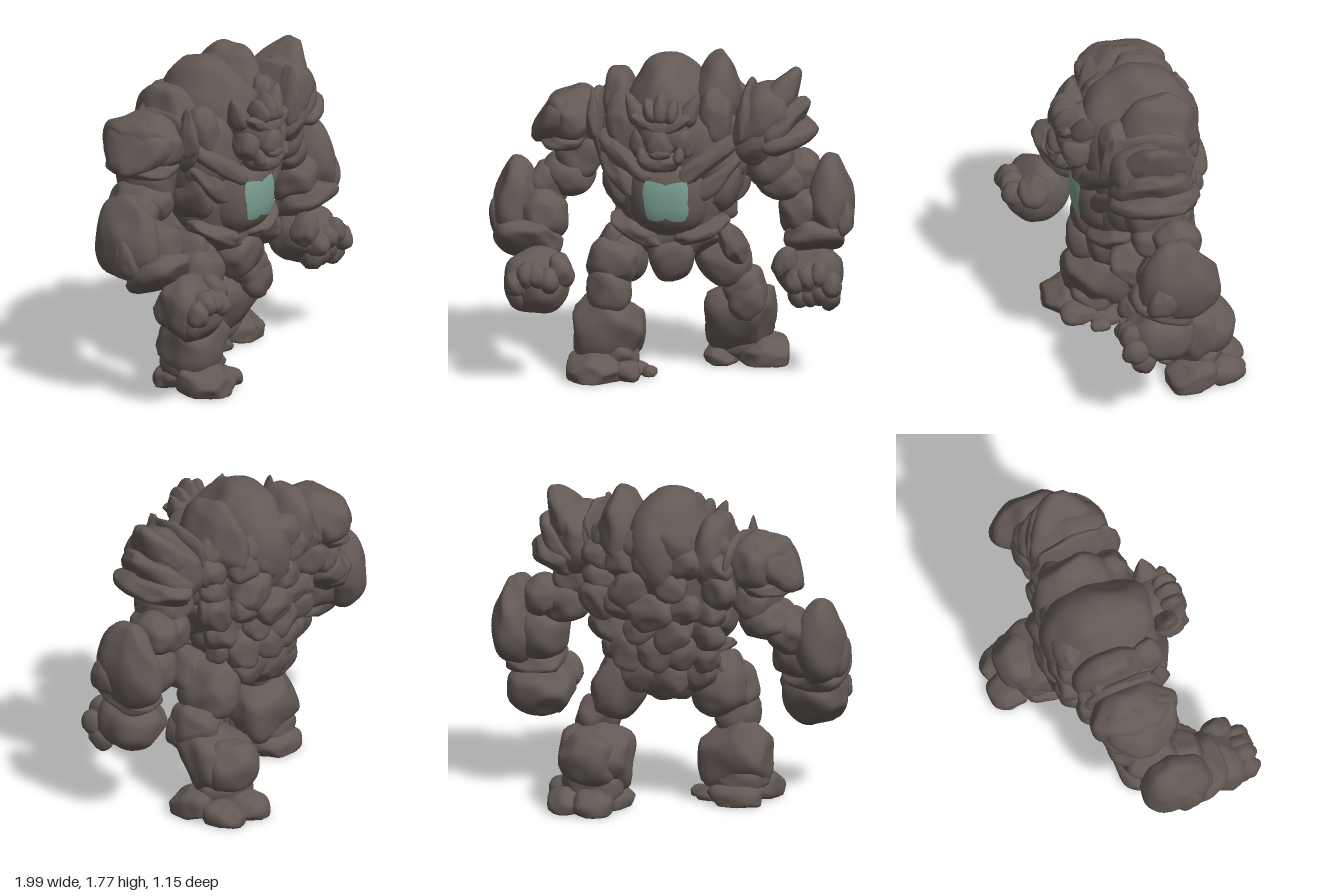
import * as THREE from 'three';
import { mergeVertices } from 'three/addons/utils/BufferGeometryUtils.js';

const rock = new THREE.MeshStandardMaterial({ color: 0x635955 });
rock.name = 'brown rock';
const crystal = new THREE.MeshStandardMaterial({ color: 0x789d91, side: THREE.DoubleSide });
crystal.name = 'pale green core';

let seed = 7;
function rand() {
  seed = (seed * 16807) % 2147483647;
  return seed / 2147483647;
}

// One chiselled stone: rounded block of power n, cut by random planes, tapered along its own y.
function stone(name, c, r, rot = [0, 0, 0], n = 2.5, taper = 0, cuts = 10) {
  const size = Math.max(...r);
  let geo = new THREE.IcosahedronGeometry(1, size > 0.13 ? 7 : size > 0.08 ? 5 : 3);
  geo.deleteAttribute('uv');
  geo.deleteAttribute('normal');
  geo = mergeVertices(geo, 1e-4);
  const planes = [];
  for (let i = 0; i < cuts; i++) {
    const dir = new THREE.Vector3(rand() - 0.5, rand() - 0.5, rand() - 0.5).normalize();
    planes.push([dir, 0.88 + 0.12 * rand()]);
  }
  const phase = rand() * 9;
  const turn = new THREE.Euler(...rot.map(THREE.MathUtils.degToRad));
  const pos = geo.attributes.position;
  const v = new THREE.Vector3();
  for (let i = 0; i < pos.count; i++) {
    v.fromBufferAttribute(pos, i).normalize();
    let d = 1.02 / Math.pow(Math.abs(v.x) ** n + Math.abs(v.y) ** n + Math.abs(v.z) ** n, 1 / n);
    for (const [dir, k] of planes) {
      const dot = v.dot(dir);
      if (dot > 0.1) d = Math.min(d, k * 1.02 / dot);
    }
    if (cuts) d *= 1 + 0.025 * Math.sin(5 * v.x + phase) * Math.sin(6 * v.y + 2 * phase) + 0.018 * Math.sin(9 * v.z + phase);
    v.multiplyScalar(d);
    const s = 1 - taper * v.y;
    v.set(v.x * s * r[0], v.y * r[1], v.z * s * r[2]).applyEuler(turn);
    pos.setXYZ(i, v.x, Math.max(v.y, -c[1] + 0.005), v.z);
  }
  geo.computeVertexNormals();
  const mesh = new THREE.Mesh(geo, rock);
  mesh.name = name;
  mesh.position.set(...c);
  return mesh;
}

function cluster(name, list) {
  const g = new THREE.Group();
  g.name = name;
  for (const item of list) g.add(stone(...item));
  return g;
}

// The same stones on both sides of x = 0.
function mirrored(name, list) {
  return cluster(name, list.flatMap(([part, c, r, rot = [0, 0, 0], ...rest]) => [
    [part + 'Left', c, r, rot, ...rest],
    [part + 'Right', [-c[0], c[1], c[2]], r, [rot[0], -rot[1], -rot[2]], ...rest],
  ]));
}

const BELLY = { c: [0, 1.03, 0.09], r: [0.22, 0.22, 0.21], n: 2.6 };

// Ragged glowing patch laid on the curve of the belly plate
function corePatch() {
  const reach = [0.118, 0.132, 0.16, 0.118, 0.096, 0.118, 0.16, 0.138, 0.118, 0.122, 0.14, 0.116, 0.088, 0.116, 0.146, 0.135];
  const geo = new THREE.RingGeometry(0.001, 1, 64, 6);
  const pos = geo.attributes.position;
  const { c, r, n } = BELLY;
  for (let i = 0; i < pos.count; i++) {
    const x = pos.getX(i), y = pos.getY(i), rho = Math.hypot(x, y);
    const t = ((Math.atan2(y, x) / (2 * Math.PI) + 1) % 1) * 16;
    const k = Math.floor(t) % 16;
    const len = THREE.MathUtils.lerp(reach[k], reach[(k + 1) % 16], t - Math.floor(t)) * rho;
    const px = (x / rho) * len, py = (y / rho) * len - 0.01;
    const left = 1 - Math.abs(px / r[0]) ** n - Math.abs(py / r[1]) ** n;
    pos.setXYZ(i, px, c[1] + py, c[2] + 1.02 * r[2] * Math.max(left, 0.02) ** (1 / n) + 0.007);
  }
  geo.computeVertexNormals();
  const mesh = new THREE.Mesh(geo, crystal);
  mesh.name = 'bellyCore';
  return mesh;
}

// Rows of uneven boulders covering the spine
function backStones() {
  const list = [];
  for (let row = 0; row < 7; row++) {
    const t = row / 6, half = 0.17 + 0.16 * Math.sin(t * 2.2), count = 4 + (row % 2);
    for (let i = 0; i < count; i++) {
      const u = (i / (count - 1)) * 2 - 1, s = 0.08 + 0.03 * rand();
      const x = u * half + 0.04 * (rand() - 0.5), y = 0.76 + 0.76 * t + 0.05 * (rand() - 0.5);
      const z = -0.24 - 0.085 * Math.sin(t * 2.6) + 0.1 * u * u;
      list.push(['backStone', [x, y, z], [s * 1.25, s, s * 0.85], [rand() * 40 - 20, u * 30, rand() * 90 - 45], 2.8]);
    }
  }
  return cluster('backStones', list);
}

// Curled fingers across the front of a fist
function fingers(name, x, y, z, spread, tilt) {
  const list = [];
  for (let i = 0; i < 4; i++) {
    const u = i / 1.5 - 1;
    const drop = 0.05 * u * u + 0.03 * (rand() - 0.5);
    list.push(['knuckle', [x + u * spread, y + 0.03 - drop, z], [0.055, 0.07, 0.07], [tilt, 0, u * 15], 2.6]);
    list.push(['fingertip', [x + u * spread * 0.9, y - 0.08 - drop * 0.5, z - 0.05], [0.052, 0.07, 0.065], [25, 0, -u * 12], 2.6]);
  }
  return cluster(name, list);
}

export function createModel() {
  const model = new THREE.Group();
  model.name = 'stoneGolem';

  // Trunk
  model.add(cluster('torso', [
    ['chest', [0, 1.28, -0.03], [0.41, 0.29, 0.27], [0, 0, 0], 2.5],
    ['waist', [0, 0.97, -0.03], [0.29, 0.24, 0.25]],
    ['hunch', [-0.02, 1.44, -0.07], [0.23, 0.325, 0.325], [-4, 0, 0], 2.2, 0.08],
    ['leftHump', [0.235, 1.54, -0.12], [0.125, 0.235, 0.22], [0, 0, -4], 2.4, 0.2],
    ['leftLump', [0.25, 1.46, 0.11], [0.09, 0.165, 0.1]],
    ['rightHump', [-0.29, 1.47, -0.12], [0.1, 0.2, 0.2], [0, 0, 8], 2.4, 0.1],
    ['rightLump', [-0.27, 1.43, 0.1], [0.08, 0.14, 0.1]],
    ['bellyPlate', BELLY.c, BELLY.r, [0, 0, 0], BELLY.n, 0, 0],
    ['pelvis', [0, 0.77, -0.03], [0.26, 0.125, 0.21], [0, 0, 0], 3],
    ['loinPlate', [0.01, 0.66, 0.12], [0.12, 0.125, 0.1], [0, 0, 0], 2.8, -0.22],
  ]));
  model.add(corePatch(), backStones());
  model.add(mirrored('torsoPlates', [
    ['upperChestBand', [0.22, 1.25, 0.18], [0.2, 0.06, 0.075], [0, 25, 35], 3],
    ['lowerChestBand', [0.25, 1.13, 0.13], [0.17, 0.06, 0.085], [0, 25, 40], 3],
    ['flank', [0.28, 1.07, 0], [0.1, 0.16, 0.17], [0, 0, -20]],
    ['belt', [0.17, 0.83, 0.11], [0.16, 0.055, 0.12], [0, 20, 22], 3],
    ['hipPlate', [0.33, 0.74, 0.02], [0.06, 0.12, 0.14], [0, 0, 25], 3],
  ]));

  // Head with brow, snout, jaw and horns
  model.add(cluster('head', [
    ['skull', [-0.02, 1.43, 0.27], [0.145, 0.14, 0.13], [0, 0, 0], 2.5],
    ['snout', [-0.02, 1.37, 0.36], [0.075, 0.08, 0.08], [15, 0, 0], 3, 0.25],
    ['nose', [-0.02, 1.32, 0.4], [0.06, 0.035, 0.045]],
    ['jaw', [-0.02, 1.265, 0.33], [0.125, 0.06, 0.1], [0, 0, 0], 2.6],
    ['crest', [-0.02, 1.56, 0.34], [0.045, 0.08, 0.08], [0, 0, 0], 2.3, 0.35],
  ]));
  for (const s of [-1, 1]) {
    const x = (d) => -0.02 + s * d;
    model.add(cluster(s > 0 ? 'leftFace' : 'rightFace', [
      ['brow', [x(0.075), 1.47, 0.355], [0.095, 0.035, 0.05], [0, 0, s * 30], 2.4],
      ['horn', [x(0.155), 1.54, 0.27], [0.045, 0.1, 0.06], [0, 0, s * -25], 2.2, 0.6],
      ['tuft', [x(0.06), 1.545, 0.34], [0.04, 0.07, 0.07], [0, 0, s * -15], 2.4, 0.35],
      ['cheek', [x(0.115), 1.36, 0.3], [0.06, 0.085, 0.085], [0, 0, s * 10]],
      ['tusk', [x(0.1), 1.3, 0.38], [0.03, 0.05, 0.04], [0, 0, s * -12], 2.4, 0.3],
    ]));
  }

  // Shoulder armour: tall splintered shards on the left, a low beaked dome on the right
  model.add(cluster('leftPauldron', [
    ['dome', [0.51, 1.44, -0.03], [0.15, 0.2, 0.23], [0, 0, -25], 2.5],
    ['innerRim', [0.4, 1.45, -0.02], [0.04, 0.2, 0.24], [0, 0, -10], 2.5],
    ['rimShard', [0.41, 1.48, 0.15], [0.04, 0.17, 0.08], [0, 0, -8], 2.5, 0.4],
    ['topShard', [0.56, 1.52, -0.03], [0.1, 0.225, 0.19], [0, 0, -33], 2.4, 0.4],
    ['middleShard', [0.6, 1.43, -0.02], [0.095, 0.18, 0.21], [0, 0, -50], 2.4, 0.35],
    ['lowerShard', [0.63, 1.345, -0.03], [0.08, 0.165, 0.24], [0, 0, -75], 2.5, 0.25],
    ['frontShard', [0.52, 1.37, 0.13], [0.08, 0.18, 0.07], [0, 0, -40], 2.5, 0.3],
  ]));
  model.add(cluster('rightPauldron', [
    ['dome', [-0.545, 1.41, -0.08], [0.15, 0.155, 0.245], [0, 0, 20], 2.4],
    ['innerRim', [-0.4, 1.38, -0.06], [0.04, 0.18, 0.23], [0, 0, 8], 2.5],
    ['rimSpike', [-0.42, 1.46, 0.12], [0.035, 0.14, 0.06], [0, 0, 2], 2.3, 0.55],
    ['beak', [-0.64, 1.385, -0.07], [0.1, 0.17, 0.2], [0, 0, 130], 2.4, 0.35],
    ['lowerRim', [-0.58, 1.285, -0.07], [0.14, 0.055, 0.21], [0, 0, 5], 2.6],
  ]));

  // Arms: the left hangs back, the right reaches forward
  model.add(cluster('leftArm', [
    ['shoulder', [0.53, 1.2, -0.04], [0.13, 0.15, 0.16]],
    ['upperArm', [0.59, 1.09, -0.07], [0.14, 0.115, 0.165]],
    ['elbow', [0.69, 1.12, -0.13], [0.1, 0.115, 0.135]],
    ['forearm', [0.855, 0.975, -0.11], [0.12, 0.24, 0.215], [0, 0, -1], 2.3, 0.18],
    ['innerForearm', [0.71, 0.91, -0.09], [0.13, 0.15, 0.175]],
    ['spur', [0.945, 0.89, 0], [0.05, 0.1, 0.08], [0, 0, -12], 2.4, 0.3],
    ['bracer', [0.78, 0.775, -0.03], [0.165, 0.075, 0.18], [-22, 0, 8], 3],
    ['fist', [0.75, 0.575, -0.02], [0.175, 0.15, 0.18], [0, 0, 0], 2.6],
    ['thumb', [0.63, 0.65, 0.1], [0.065, 0.095, 0.08], [0, 0, -25]],
  ]));
  model.add(fingers('leftFingers', 0.79, 0.57, 0.14, 0.1, -20));
  model.add(cluster('rightArm', [
    ['shoulder', [-0.52, 1.2, -0.08], [0.13, 0.14, 0.17]],
    ['upperArm', [-0.58, 1.08, -0.07], [0.145, 0.115, 0.175]],
    ['elbow', [-0.69, 1.02, -0.04], [0.11, 0.13, 0.15]],
    ['forearm', [-0.845, 0.96, 0.04], [0.125, 0.23, 0.19], [-8, 0, 0], 2.3, 0.2],
    ['innerForearm', [-0.7, 0.88, 0.1], [0.14, 0.14, 0.16], [-20, 0, 0]],
    ['spur', [-0.94, 0.86, 0.1], [0.05, 0.11, 0.08], [0, 0, 12], 2.4, 0.3],
    ['bracer', [-0.765, 0.77, 0.2], [0.185, 0.085, 0.17], [-32, 0, -8], 2.8],
    ['fist', [-0.7, 0.58, 0.35], [0.175, 0.18, 0.16], [-30, 0, 0], 2.5],
    ['thumb', [-0.56, 0.65, 0.4], [0.065, 0.095, 0.085], [-20, 0, 20]],
  ]));
  model.add(fingers('rightFingers', -0.71, 0.62, 0.49, 0.09, -35));

  // Legs: the left trails, the right steps forward
  model.add(cluster('leftLeg', [
    ['thigh', [0.26, 0.64, -0.12], [0.14, 0.18, 0.18], [10, 0, 25]],
    ['knee', [0.38, 0.46, -0.14], [0.115, 0.135, 0.145], [0, 0, 15], 2.7],
    ['kneeCap', [0.4, 0.4, -0.06], [0.1, 0.11, 0.08]],
    ['shin', [0.34, 0.27, -0.27], [0.185, 0.19, 0.175], [25, 0, 0], 3.8],
    ['calf', [0.35, 0.28, -0.38], [0.155, 0.155, 0.13], [-15, 0, 0]],
    ['ankle', [0.35, 0.12, -0.31], [0.165, 0.1, 0.14], [0, 0, 0], 3],
    ['bigToe', [0.47, 0.065, -0.25], [0.135, 0.085, 0.13], [6, 10, 0], 4],
    ['innerToe', [0.24, 0.045, -0.25], [0.09, 0.06, 0.13], [0, -10, 0], 3.5],
    ['heel', [0.3, 0.045, -0.46], [0.11, 0.085, 0.115], [-12, 0, 0], 2.7],
    ['outerHeel', [0.46, 0.045, -0.44], [0.095, 0.085, 0.12], [-12, 20, 0], 2.7],
  ]));
  model.add(cluster('rightLeg', [
    ['thigh', [-0.27, 0.66, 0], [0.145, 0.155, 0.17], [0, 0, -20]],
    ['thighPlate', [-0.31, 0.64, 0.12], [0.135, 0.135, 0.115], [0, 0, -20]],
    ['knee', [-0.33, 0.49, 0.14], [0.12, 0.125, 0.125], [0, 0, 0], 2.9],
    ['shin', [-0.335, 0.27, 0.1], [0.185, 0.185, 0.175], [0, 0, 0], 4],
    ['ankle', [-0.34, 0.13, 0.1], [0.17, 0.1, 0.15], [0, 0, 0], 3],
    ['bigToe', [-0.4, 0.065, 0.25], [0.145, 0.09, 0.145], [14, 0, 0], 4],
    ['innerToe', [-0.22, 0.045, 0.22], [0.07, 0.06, 0.1], [0, 0, 0], 3],
    ['looseStone', [-0.11, 0.025, 0.12], [0.042, 0.035, 0.055]],
    ['arch', [-0.2, 0.03, 0.08], [0.08, 0.045, 0.09]],
    ['heel', [-0.36, 0.045, 0.01], [0.15, 0.08, 0.105], [-8, 0, 0], 3],
  ]));
  return model;
}
